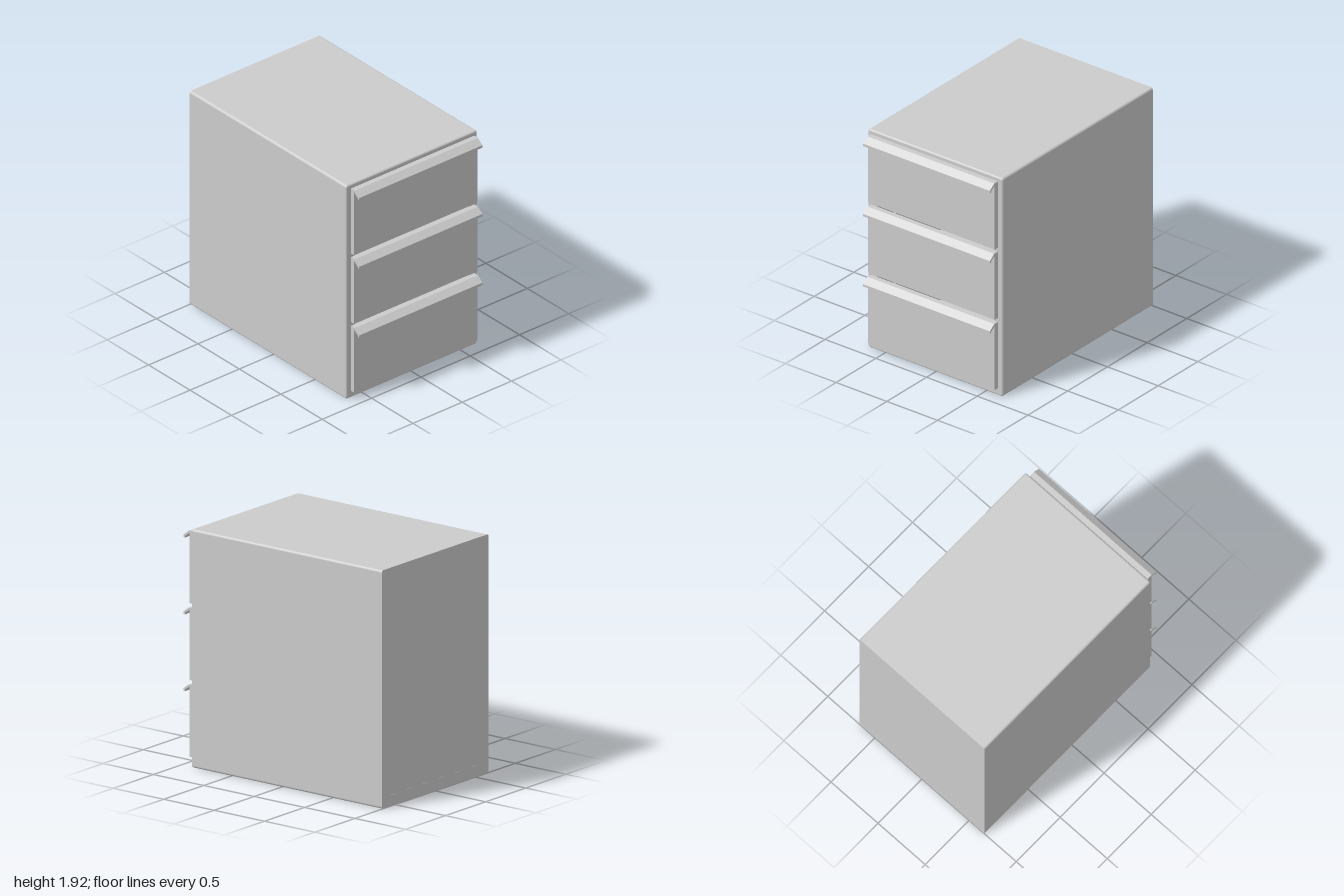
import * as THREE from 'three';

const material = new THREE.MeshStandardMaterial({ color: 0xcccccc });

function addMesh(parent, name, geometry) {
  const mesh = new THREE.Mesh(geometry, material);
  mesh.name = name;
  parent.add(mesh);
  return mesh;
}

// Box given by its lower and upper corners
function addBox(parent, name, [x0, y0, z0], [x1, y1, z1]) {
  const mesh = addMesh(parent, name, new THREE.BoxGeometry(x1 - x0, y1 - y0, z1 - z0));
  mesh.position.set((x0 + x1) / 2, (y0 + y1) / 2, (z0 + z1) / 2);
}

// Rounded upright rectangle with a rectangular drawer opening
function carcassShape(halfWidth, height, r) {
  const w = halfWidth, h = height, s = new THREE.Shape();
  s.moveTo(-w + r, 0);
  s.lineTo(w - r, 0);
  s.absarc(w - r, r, r, -Math.PI / 2, 0);
  s.lineTo(w, h - r);
  s.absarc(w - r, h - r, r, 0, Math.PI / 2);
  s.lineTo(-w + r, h);
  s.absarc(-w + r, h - r, r, Math.PI / 2, Math.PI);
  s.lineTo(-w, r);
  s.absarc(-w + r, r, r, Math.PI, Math.PI * 1.5);
  const opening = [[-0.57, 0.09], [-0.57, 1.87], [0.57, 1.87], [0.57, 0.09]];
  s.holes.push(new THREE.Path(opening.map(([x, y]) => new THREE.Vector2(x, y))));
  return s;
}

function createCarcass() {
  const carcass = new THREE.Group();
  carcass.name = 'carcass';
  const shape = carcassShape(0.665, 1.925, 0.02);

  // Square-edged shell
  const shell = new THREE.ExtrudeGeometry(shape, { depth: 1.85, bevelEnabled: false, curveSegments: 6 });
  shell.rotateY(Math.PI / 2).translate(-1, 0, 0);
  addMesh(carcass, 'shell', shell);

  // Front rim with softened edges; its rear bevel is buried in the shell
  const b = 0.015;
  const rim = new THREE.ExtrudeGeometry(shape, {
    depth: 0.03, bevelThickness: b, bevelSize: b, bevelOffset: -b, bevelSegments: 4, curveSegments: 6,
  });
  rim.rotateY(Math.PI / 2).translate(0.89 - b - 0.03, 0, 0);
  addMesh(carcass, 'frontRim', rim);

  addBox(carcass, 'backPanel', [-0.999, 0.05, -0.6], [-0.93, 1.9, 0.6]);
  return carcass;
}

function createDrawer() {
  const drawer = new THREE.Group();

  // Front panel and its sloping full-width lip, as one side profile
  const profile = new THREE.Shape([
    [0.9, 0], [0.94, 0], [0.94, 0.566], [0.984, 0.534], [0.984, 0.522],
    [1, 0.522], [1, 0.543], [0.945, 0.585], [0.9, 0.585],
  ].map(([x, y]) => new THREE.Vector2(x, y)));
  const front = new THREE.ExtrudeGeometry(profile, { depth: 1.25, bevelEnabled: false });
  addMesh(drawer, 'frontWithHandle', front.translate(0, 0, -0.625));

  // Open tray behind the front
  addBox(drawer, 'trayFloor', [-0.85, 0.04, -0.55], [0.9, 0.06, 0.55]);
  addBox(drawer, 'trayBack', [-0.87, 0.04, -0.55], [-0.85, 0.45, 0.55]);
  for (const side of [-1, 1]) {
    addBox(drawer, 'traySide', [-0.87, 0.04, side * 0.55 - 0.01], [0.9, 0.45, side * 0.55 + 0.01]);
    addBox(drawer, 'runner', [-0.9, 0.2, side * 0.565 - 0.01], [0.87, 0.25, side * 0.565 + 0.01]);
  }
  return drawer;
}

export function createModel() {
  const model = new THREE.Group();
  model.name = 'drawerCabinet';
  model.add(createCarcass());
  ['bottomDrawer', 'middleDrawer', 'topDrawer'].forEach((name, i) => {
    const drawer = createDrawer();
    drawer.name = name;
    drawer.position.y = 0.07 + i * 0.62;
    model.add(drawer);
  });
  return model;
}
